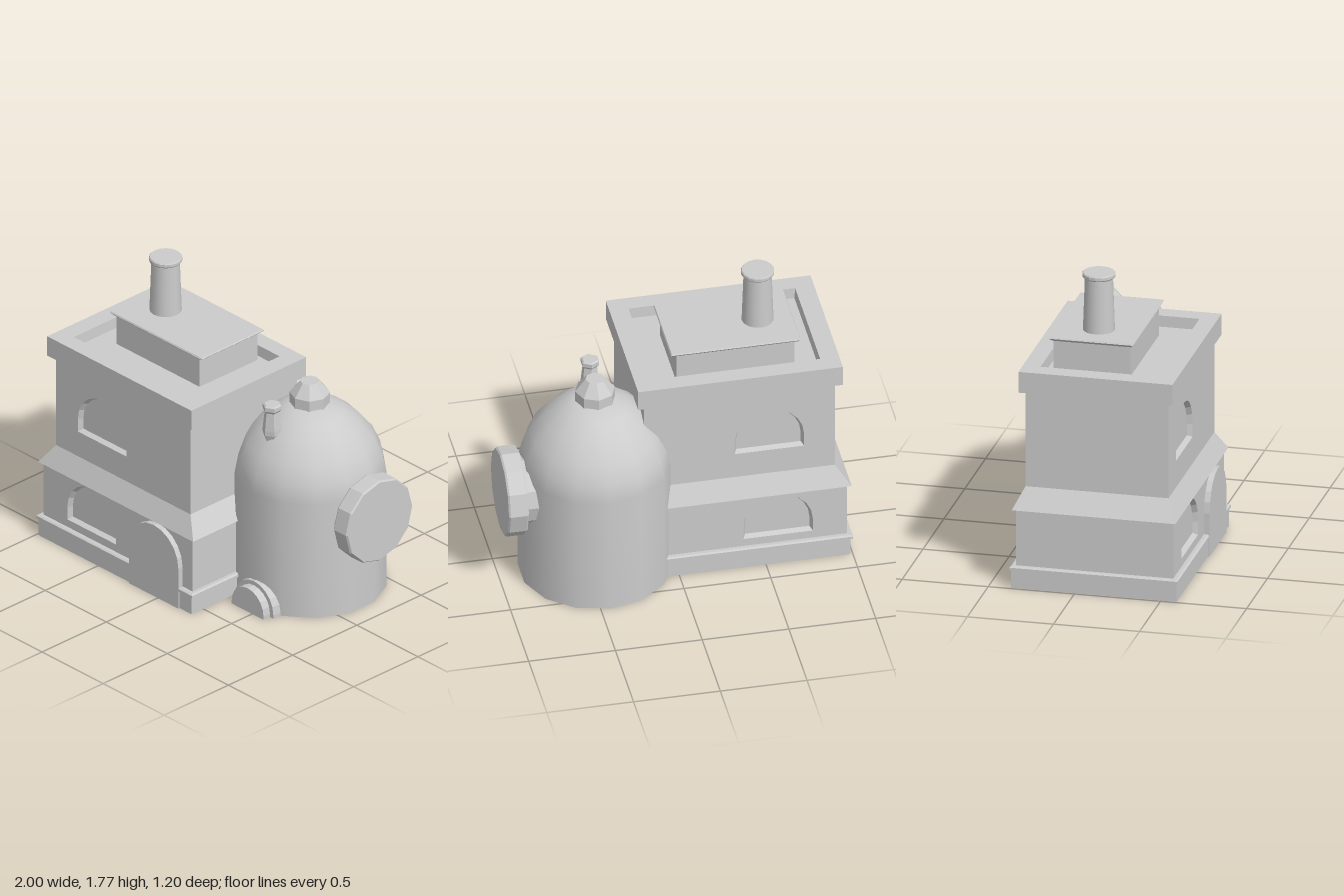
import * as THREE from 'three';

const flat = new THREE.MeshStandardMaterial({ color: 0xcccccc, flatShading: true, side: THREE.DoubleSide });
const smooth = new THREE.MeshStandardMaterial({ color: 0xcccccc, side: THREE.DoubleSide });

function add(parent, name, geometry, x = 0, y = 0, z = 0, material = flat) {
  const mesh = new THREE.Mesh(geometry, material);
  mesh.name = name;
  mesh.position.set(x, y, z);
  parent.add(mesh);
  return mesh;
}

// Skin between successive closed rings of [x, y, z] points
function loft(rings, capped = false) {
  const pos = [];
  for (let r = 0; r + 1 < rings.length; r++) {
    const lo = rings[r], hi = rings[r + 1];
    for (let i = 0; i < lo.length; i++) {
      const j = (i + 1) % lo.length;
      pos.push(...lo[i], ...lo[j], ...hi[j], ...lo[i], ...hi[j], ...hi[i]);
    }
  }
  if (capped) {
    const top = rings[rings.length - 1];
    for (let i = 1; i + 1 < top.length; i++) pos.push(...top[0], ...top[i], ...top[i + 1]);
  }
  const g = new THREE.BufferGeometry();
  g.setAttribute('position', new THREE.Float32BufferAttribute(pos, 3));
  g.computeVertexNormals();
  return g;
}

// Rectangular mouldings: levels are [half width, y, half depth]
const rectLoft = (levels, capped) => loft(levels.map(([w, y, d]) =>
  [[-w, y, d], [w, y, d], [w, y, -d], [-w, y, -d]]), capped);

// Round-headed outline, counter-clockwise, standing on y = 0
function archPoints(half, height, segments = 10) {
  const rise = Math.min(half, height), spring = height - rise;
  const pts = [new THREE.Vector2(-half, 0), new THREE.Vector2(half, 0)];
  for (let i = spring > 0 ? 0 : 1; i <= (spring > 0 ? segments : segments - 1); i++) {
    const a = Math.PI * i / segments;
    pts.push(new THREE.Vector2(half * Math.cos(a), spring + rise * Math.sin(a)));
  }
  return pts;
}

const archBlock = (half, height, depth) => new THREE.ExtrudeGeometry(
  new THREE.Shape(archPoints(half, height)), { depth, bevelEnabled: false });

// Wall with a recessed arched window
function windowWall(half, y0, y1, wx, wy) {
  const wall = new THREE.Group();
  const outer = archPoints(0.2, 0.28).map(p => new THREE.Vector2(p.x + wx, p.y + wy));
  const inner = archPoints(0.186, 0.253).map(p => new THREE.Vector2(p.x + wx, p.y + wy + 0.013));
  const shape = new THREE.Shape([[-half, y0], [half, y0], [half, y1], [-half, y1]]
    .map(p => new THREE.Vector2(...p)));
  shape.holes.push(new THREE.Path(outer));
  add(wall, 'wallFace', new THREE.ShapeGeometry(shape));
  add(wall, 'windowReveal', loft([outer.map(p => [p.x, p.y, 0]), inner.map(p => [p.x, p.y, -0.03])]));
  add(wall, 'windowPane', new THREE.ShapeGeometry(new THREE.Shape(inner)), 0, 0, -0.03);
  return wall;
}

// One storey: windows front and back, plain ends
function storey(name, w, d, y0, y1, wx, wy) {
  const g = new THREE.Group();
  g.name = name;
  for (const s of [1, -1]) {
    const wall = windowWall(w, y0, y1, s * wx, wy);
    wall.name = s > 0 ? 'frontWall' : 'backWall';
    wall.position.z = s * d;
    wall.rotation.y = s > 0 ? 0 : Math.PI;
    g.add(wall);
    const end = add(g, 'endWall', new THREE.PlaneGeometry(2 * d, y1 - y0), s * w, (y0 + y1) / 2, 0);
    end.rotation.y = s * Math.PI / 2;
  }
  return g;
}

const lathe = (profile, sides) => new THREE.LatheGeometry(profile.map(p => new THREE.Vector2(...p)), sides);

export function createModel() {
  const model = new THREE.Group();

  // House
  const house = new THREE.Group();
  house.name = 'house';
  house.position.set(-0.36, 0, 0.11);
  model.add(house);
  add(house, 'plinth', rectLoft([[0.627, 0, 0.48], [0.627, 0.105, 0.48], [0.64, 0.11, 0.488],
    [0.64, 0.125, 0.488], [0.63, 0.132, 0.478], [0.61, 0.132, 0.457]]));
  house.add(storey('lowerStorey', 0.61, 0.457, 0.132, 0.47, -0.215, 0.18));
  add(house, 'skirtRoof', rectLoft([[0.61, 0.47, 0.457], [0.635, 0.47, 0.475], [0.55, 0.59, 0.415]]));
  house.add(storey('upperStorey', 0.55, 0.415, 0.59, 1.165, -0.173, 0.75));
  add(house, 'parapet', rectLoft([[0.55, 1.165, 0.415], [0.59, 1.165, 0.447], [0.59, 1.29, 0.447],
    [0.48, 1.29, 0.345], [0.475, 1.225, 0.34]], true));

  // Raised roof room with a thin bevelled slab
  add(house, 'roofRoom', rectLoft([[0.34, 1.225, 0.224], [0.34, 1.41, 0.224]], true), 0, 0, -0.08);
  add(house, 'roofSlab', rectLoft([[0.34, 1.403, 0.224], [0.355, 1.405, 0.228], [0.375, 1.422, 0.245],
    [0.37, 1.43, 0.24]], true), 0, 0, -0.08);

  // Chimney
  add(model, 'chimneyStack', new THREE.CylinderGeometry(0.08, 0.092, 0.34, 16, 1, true), -0.535, 1.59, 0.03, smooth);
  add(model, 'chimneyCap', lathe([[0.078, 1.742], [0.09, 1.745], [0.095, 1.752], [0.095, 1.768],
    [0.09, 1.775], [0, 1.775]], 16), -0.535, 0, 0.03);

  // House door
  add(model, 'houseDoor', archBlock(0.202, 0.46, 0.05), -0.033, 0, 0.55);

  // Domed tower
  const tower = new THREE.Group();
  tower.name = 'tower';
  tower.position.set(0.443, 0, -0.163);
  model.add(tower);
  add(tower, 'dome', lathe([[0.438, 0], [0.438, 0.73], [0.415, 0.84], [0.37, 0.94],
    [0.29, 1.04], [0.2, 1.115], [0.11, 1.157], [0, 1.157]], 14), 0, 0, 0, smooth);
  add(tower, 'domeFinial', lathe([[0.115, 1.13], [0.115, 1.22], [0.055, 1.295], [0, 1.295]], 8));
  add(tower, 'ventPipe', lathe([[0, 0.99], [0.035, 0.99], [0.055, 1.05], [0.055, 1.08], [0.043, 1.19],
    [0.055, 1.205], [0.055, 1.23], [0.045, 1.237], [0, 1.237]], 6), -0.027, 0, 0.268);

  // Large round port on the side
  const port = add(model, 'roundPort', lathe([[0.2, -0.12], [0.2, 0.03], [0.25, 0.03], [0.258, 0.04],
    [0.258, 0.135], [0.25, 0.145], [0, 0.145]], 12), 0.85, 0.6, -0.185);
  port.rotation.z = -Math.PI / 2;

  // Stepped arched doorway of the tower
  add(model, 'towerDoorSurround', archBlock(0.158, 0.178, 0.13), 0.463, 0, 0.16);
  add(model, 'towerDoor', archBlock(0.13, 0.152, 0.14), 0.463, 0, 0.2);

  return model;
}
